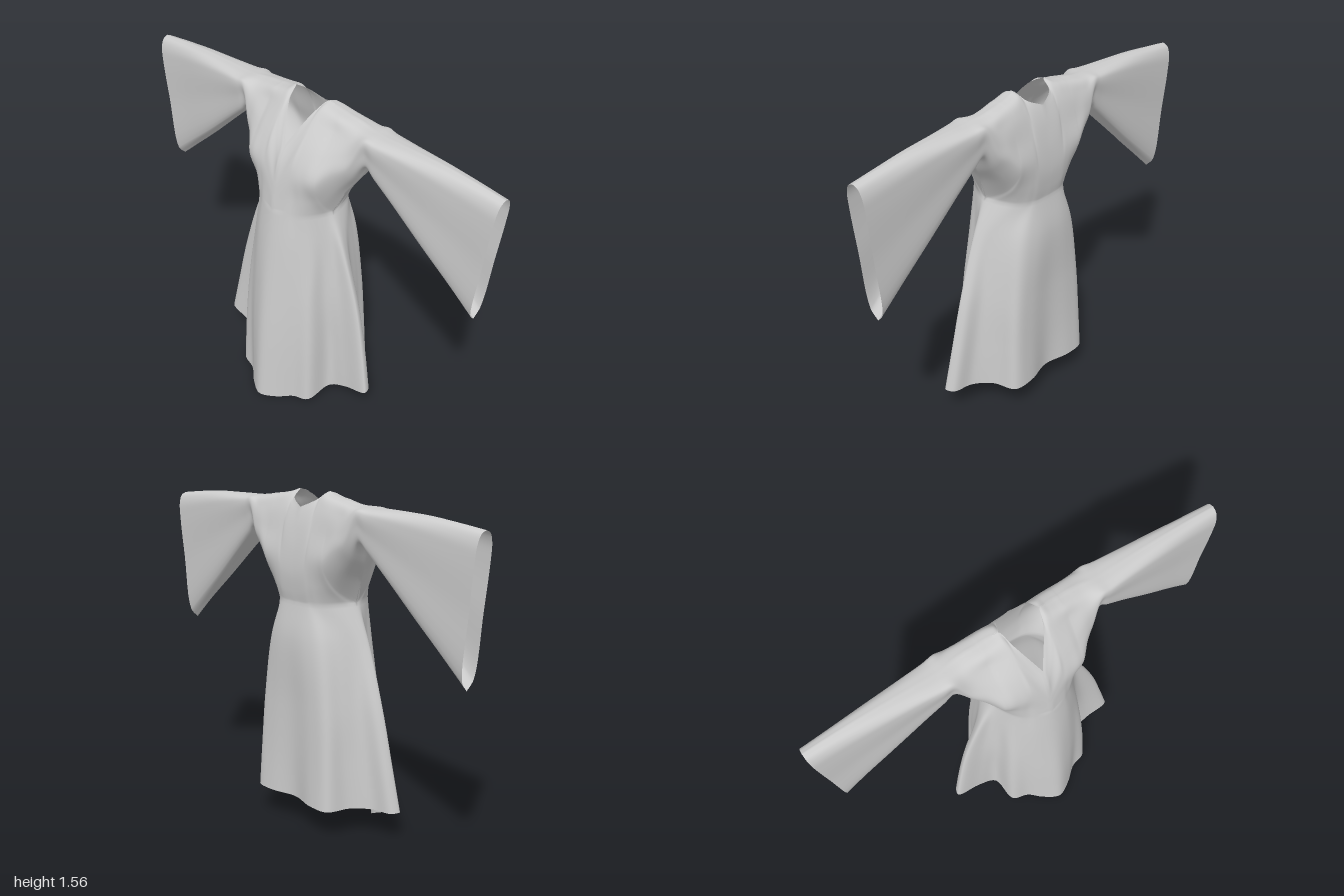
import * as THREE from 'three';
import { mergeGeometries, mergeVertices } from 'three/addons/utils/BufferGeometryUtils.js';

const V = (x, y, z) => new THREE.Vector3(x, y, z);
const spline = (pts, closed = false) => new THREE.CatmullRomCurve3(pts, closed, 'centripetal');
const STEPS = 6; // grid steps between neighbouring sections

// Grid surface from a point function; mirror reflects it in x, flip reverses the faces
function sheet(fn, nu, nv, { flip = false, mirror = false } = {}) {
  const pos = [], idx = [];
  for (let i = 0; i <= nu; i++) {
    for (let j = 0; j <= nv; j++) {
      const p = fn(i / nu, j / nv);
      pos.push(mirror ? -p.x : p.x, p.y, p.z);
    }
  }
  for (let i = 0; i < nu; i++) {
    for (let j = 0; j < nv; j++) {
      const a = i * (nv + 1) + j, b = a + 1, c = a + nv + 1, d = c + 1;
      if (flip !== mirror) idx.push(a, c, b, b, c, d);
      else idx.push(a, b, c, b, d, c);
    }
  }
  const g = new THREE.BufferGeometry();
  g.setAttribute('position', new THREE.Float32BufferAttribute(pos, 3));
  g.setIndex(idx);
  return g;
}

// Bodice sections, centre to underarm; each row runs from neck or shoulder down
const bodiceX = [0, .075, .1, .13, .165, .19, .2, .25, .3];
const frontY = [
  [1.37, 1.33, 1.28, 1.2, 1.15, 1.11, 1.07],
  [1.525, 1.49, 1.43, 1.34, 1.25, 1.15, 1.07],
  [1.56, 1.545, 1.49, 1.38, 1.27, 1.16, 1.07],
  [1.55, 1.538, 1.485, 1.38, 1.27, 1.16, 1.07],
  [1.542, 1.53, 1.48, 1.38, 1.27, 1.16, 1.07],
  [1.538, 1.526, 1.475, 1.38, 1.27, 1.16, 1.07],
  [1.536, 1.524, 1.475, 1.38, 1.27, 1.16, 1.07],
  [1.53, 1.515, 1.47, 1.4, 1.32, 1.23, 1.18],
  [1.522, 1.508, 1.47, 1.41, 1.35, 1.29, 1.26],
];
const backY = [
  [1.49, 1.45, 1.4, 1.3, 1.2, 1.12, 1.07],
  [1.525, 1.49, 1.42, 1.32, 1.22, 1.13, 1.07],
  ...frontY.slice(2),
];
const frontZ = [
  [.075, .1, .12, .135, .143, .15, .155],
  [-.035, -.005, .04, .095, .12, .13, .139],
  [-.1, -.055, -.005, .07, .115, .12, .125],
  [-.105, -.055, -.01, .065, .112, .11, .105],
  [-.11, -.055, -.018, .057, .108, .085, .06],
  [-.11, -.055, -.023, .047, .1, .065, .01],
  [-.11, -.055, -.025, .044, .095, .048, -.03],
  [-.113, -.06, -.025, .018, .045, .01, -.05],
  [-.113, -.06, -.024, 0, .01, -.02, -.08],
];
const backZ = [
  [-.185, -.197, -.21, -.23, -.238, -.232, -.225],
  [-.155, -.178, -.205, -.227, -.238, -.232, -.221],
  [-.1, -.14, -.178, -.212, -.236, -.232, -.215],
  [-.105, -.15, -.182, -.212, -.237, -.225, -.202],
  [-.11, -.155, -.185, -.212, -.237, -.21, -.165],
  [-.11, -.156, -.187, -.212, -.236, -.19, -.095],
  [-.11, -.157, -.187, -.212, -.234, -.17, -.03],
  [-.113, -.163, -.188, -.21, -.22, -.17, -.05],
  [-.113, -.167, -.19, -.205, -.205, -.16, -.08],
];
const bodice = (Y, Z) => bodiceX.map((x, i) => Y[i].map((y, k) => V(x, y, Z[i][k])));
const bodiceFront = bodice(frontY, frontZ), bodiceBack = bodice(backY, backZ);

// Sleeve sections: [x top, x bottom, y top, y bottom, z centre, half thickness]
const sleeveSections = [
  [.36, .36, 1.515, 1.36, -.106, .085],
  [.41, .405, 1.512, 1.318, -.105, .08],
  [.5, .49, 1.512, 1.24, -.107, .073],
  [.7, .67, 1.508, 1.07, -.111, .061],
  [.86, .81, 1.495, .945, -.115, .052],
  [1, .93, 1.48, .837, -.117, .047],
];
const drop = [0, .02, .08, .2, .5, .93, 1], bulge = [0, .55, .9, 1, .93, .75, 0];
const sleeve = (sign) => sleeveSections.map(([xt, xb, yt, yb, zc, h]) => drop.map((t, k) =>
  V(xt + (xb - xt) * t, yt + (yb - yt) * t, zc + sign * h * bulge[k])));

// Closed outline from its +x half, running centre front to centre back
const ring = (half) => spline(
  [...half, ...half.slice(1, -1).reverse().map((p) => V(-p.x, p.y, p.z))], true);

// Waist outline, shared by bodice and skirt
const WAIST = 6; // section at which the waist closes at the side
const bottom = (rows) => rows.slice(0, WAIST + 1).map((r) => r[r.length - 1]);
const waist = ring([...bottom(bodiceFront), ...bottom(bodiceBack).reverse().slice(1)]);

// Front or back of the bodice and sleeve, its lower edge sewn to the waist
function upperHalf(sections, isFront) {
  const curves = sections.map((s) => spline(s));
  return (u, v) => {
    const s = u * (curves.length - 1);
    if (v === 1 && s < WAIST + 1e-6) return waist.getPoint((isFront ? s : 2 * WAIST - s) / (4 * WAIST));
    return spline(curves.map((c) => c.getPoint(v))).getPoint(u);
  };
}

// Skirt sections below the waist: half outline [x, z] round the side fold
const skirtRings = [
  { y: .9, pts: [[0, .178], [.08, .16], [.13, .128], [.175, .085], [.2, .035], [.23, 0], [.27, -.02],
    [.262, -.055], [.235, -.1], [.205, -.16], [.17, -.22], [.1, -.245], [0, -.25]] },
  { y: .6, pts: [[0, .215], [.08, .19], [.145, .15], [.2, .115], [.226, .035], [.28, 0], [.367, -.02],
    [.353, -.055], [.29, -.09], [.25, -.16], [.215, -.23], [.13, -.247], [0, -.24]] },
  { y: .35, pts: [[0, .24], [.08, .21], [.145, .165], [.216, .13], [.24, .025], [.31, 0], [.423, -.012],
    [.408, -.052], [.325, -.08], [.265, -.155], [.235, -.238], [.14, -.252], [0, -.235]] },
  { pts: [[0, .265], [.08, .225], [.145, .172], [.225, .145], [.25, .025], [.34, .005], [.464, 0],
    [.448, -.045], [.355, -.07], [.28, -.14], [.245, -.248], [.14, -.26], [0, -.23]] },
];
const hemY = [0, .003, .015, .03, .06, .1, .14, .14, .14, .14, .14, .14, .14];

function skirtSurface() {
  const rings = [waist, ...skirtRings.map(({ y, pts }) =>
    ring(pts.map(([x, z], k) => V(x, y ?? hemY[k], z))))];
  return (u, v) => (v === 0 ? waist.getPoint(u) : spline(rings.map((r) => r.getPoint(u))).getPoint(v));
}

export function createModel() {
  const group = new THREE.Group();
  group.name = 'robe';

  // Bodice and wide hanging sleeves, mirrored left to right
  const front = [...bodiceFront, ...sleeve(1)], back = [...bodiceBack, ...sleeve(-1)];
  const columns = (front.length - 1) * STEPS;
  const sheets = [false, true].flatMap((mirror) => [
    sheet(upperHalf(front, true), columns, 36, { mirror }),
    sheet(upperHalf(back, false), columns, 36, { mirror, flip: true }),
  ]);

  // Flared skirt with side folds and a longer front hem
  sheets.push(sheet(skirtSurface(), 4 * WAIST * STEPS, 40));

  // Sew the pieces into one smooth cloth
  const cloth = mergeVertices(mergeGeometries(sheets), 1e-4);
  cloth.computeVertexNormals();
  const mesh = new THREE.Mesh(cloth, new THREE.MeshStandardMaterial({ color: 0xcccccc, side: THREE.DoubleSide }));
  mesh.name = 'sleevedRobe';
  group.add(mesh);
  return group;
}
